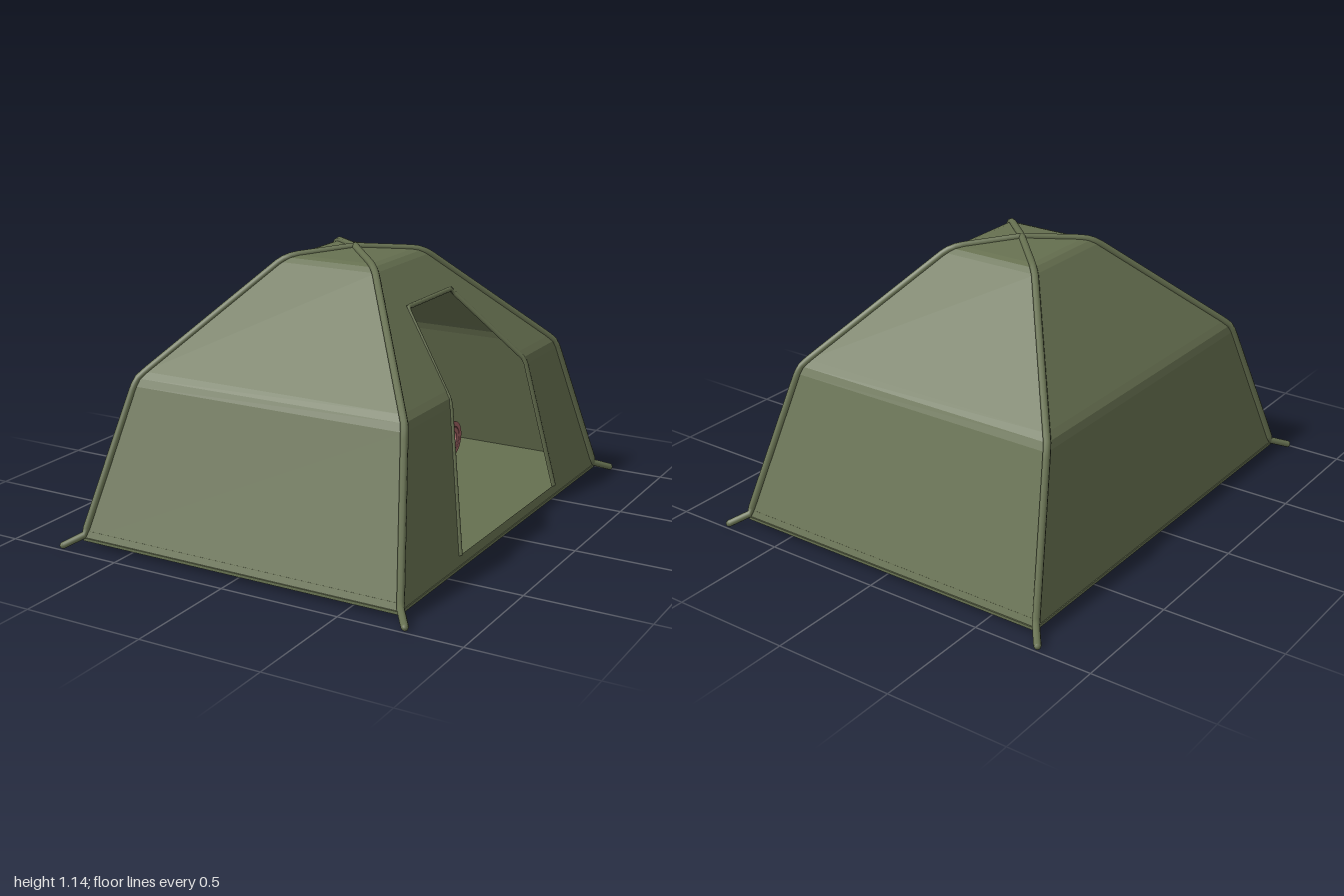
import * as THREE from 'three';

const { Vector2, Vector3 } = THREE;
const olive = new THREE.MeshStandardMaterial({ color: 0x667050, side: THREE.DoubleSide });
const pink = new THREE.MeshStandardMaterial({ color: 0xa06262, side: THREE.DoubleSide });

// Corner line of the tent: height, half width (x), half depth (z); shoulders softly bevelled
const CORNER = [
  [0.025, 0.71, 0.92], [0.62, 0.606, 0.701], [0.65, 0.597, 0.686], [0.675, 0.578, 0.663],
  [1.075, 0.222, 0.227], [1.092, 0.2, 0.205], [1.1, 0.175, 0.18], [1.122, 0, 0],
];
// Door opening: height, z of rear edge, z of front edge
const DOOR = [[0.07, -0.49, 0.43], [0.64, -0.38, 0.33], [0.95, -0.21, 0.18]];

// Linear lookup in a table sorted by its first column
function lookup(table, y) {
  let i = 1;
  while (i < table.length - 1 && table[i][0] < y) i++;
  const a = table[i - 1], b = table[i];
  const t = (y - a[0]) / (b[0] - a[0]);
  return [a[1] + (b[1] - a[1]) * t, a[2] + (b[2] - a[2]) * t];
}

function mesh(name, geometry, material) {
  const m = new THREE.Mesh(geometry, material);
  m.name = name;
  return m;
}

// One fabric wall. It faces +x or +z, flipped by sign; door cuts the opening
function wall(name, axis, sign, door) {
  const heights = CORNER.map((r) => r[0]);
  if (door) heights.push(...DOOR.map((r) => r[0]));
  heights.sort((a, b) => a - b);
  const pos = [];
  const point = (y, s) => {
    const [x, z] = lookup(CORNER, y);
    return axis === 'x' ? [sign * x, y, -sign * s] : [sign * s, y, sign * z];
  };
  const quad = (y0, y1, a0, b0, a1, b1) => {
    const p = [point(y0, a0), point(y0, b0), point(y1, b1), point(y1, a1)];
    for (const k of [0, 1, 2, 0, 2, 3]) pos.push(...p[k]);
  };
  for (let i = 0; i + 1 < heights.length; i++) {
    const y0 = heights[i], y1 = heights[i + 1];
    const w0 = lookup(CORNER, y0)[axis === 'x' ? 1 : 0];
    const w1 = lookup(CORNER, y1)[axis === 'x' ? 1 : 0];
    if (door && y0 >= 0.07 && y1 <= 0.95) {
      const [r0, f0] = lookup(DOOR, y0), [r1, f1] = lookup(DOOR, y1);
      quad(y0, y1, -w0, -f0, -w1, -f1);
      quad(y0, y1, -r0, w0, -r1, w1);
    } else quad(y0, y1, -w0, w0, -w1, w1);
  }
  const g = new THREE.BufferGeometry();
  g.setAttribute('position', new THREE.Float32BufferAttribute(pos, 3));
  g.computeVertexNormals();
  return mesh(name, g, olive);
}

// Tube through straight runs between points
function rod(name, points, radius, segments) {
  const curve = new THREE.CatmullRomCurve3(points, false, 'catmullrom', 0);
  return mesh(name, new THREE.TubeGeometry(curve, segments, radius, 8, false), olive);
}

// Sleeping mat lying along z, its rear end rolled up in a spiral
function sleepingMat() {
  const half = 0.011, y = 0.073, rollZ = -0.63, r0 = 0.077;
  const upper = [new Vector2(0.62, y + half)], lower = [new Vector2(0.62, y - half)];
  const steps = 48, turns = 1.6;
  for (let i = 0; i <= steps; i++) {
    const t = (i / steps) * turns;
    const a = -Math.PI / 2 - t * Math.PI * 2;
    const r = r0 - 0.026 * t;
    const at = (d) => new Vector2(rollZ + Math.cos(a) * (r + d), y + r0 + Math.sin(a) * (r + d));
    upper.push(at(-half));
    lower.push(at(half));
  }
  const shape = new THREE.Shape([...upper, ...lower.reverse()]);
  const g = new THREE.ExtrudeGeometry(shape, { depth: 0.57, bevelEnabled: false });
  g.rotateY(-Math.PI / 2);
  g.translate(0.15, 0, 0);
  return mesh('sleepingMat', g, pink);
}

export function createModel() {
  const tent = new THREE.Group();
  tent.name = 'tent';

  // Fabric walls meeting at the low peak
  tent.add(
    wall('frontWall', 'z', 1), wall('backWall', 'z', -1),
    wall('doorWall', 'x', 1, true), wall('plainWall', 'x', -1),
  );

  // Groundsheet
  const floor = mesh('groundsheet', new THREE.BoxGeometry(1.405, 0.038, 1.815), olive);
  floor.position.y = 0.041;
  const base = mesh('groundsheetHem', new THREE.BoxGeometry(1.425, 0.012, 1.845), olive);
  base.position.y = 0.028;
  tent.add(floor, base);

  // Two crossing poles, each running over the peak and ending in splayed feet
  const foot = new Vector3(0.765, 0.014, 0.985);
  const side = [foot, new Vector3(0.712, 0.045, 0.918)];
  for (const [y, x, z] of CORNER.slice(1, -1)) side.push(new Vector3(x, y, z));
  for (const s of [1, -1]) {
    const near = side.map((p) => new Vector3(p.x * s, p.y, p.z));
    const far = side.map((p) => new Vector3(-p.x * s, p.y, -p.z)).reverse();
    tent.add(rod('pole', [...near, new Vector3(0, 1.122, 0), ...far], 0.015, 120));
    for (const e of [1, -1]) {
      const tip = mesh('poleTip', new THREE.SphereGeometry(0.014, 8, 6), olive);
      tip.position.set(foot.x * s * e, foot.y, foot.z * e);
      tent.add(tip);
    }
  }

  // Piping around the door opening
  const inset = 0.008;
  const edge = (i) => DOOR.map(([y, ...z]) => new Vector3(
    lookup(CORNER, y)[0], y - (y > 0.9 ? inset : 0), z[i] + (i ? -inset : inset)));
  tent.add(rod('doorPiping', [...edge(0), ...edge(1).reverse()], 0.01, 80));

  tent.add(sleepingMat());
  return tent;
}
